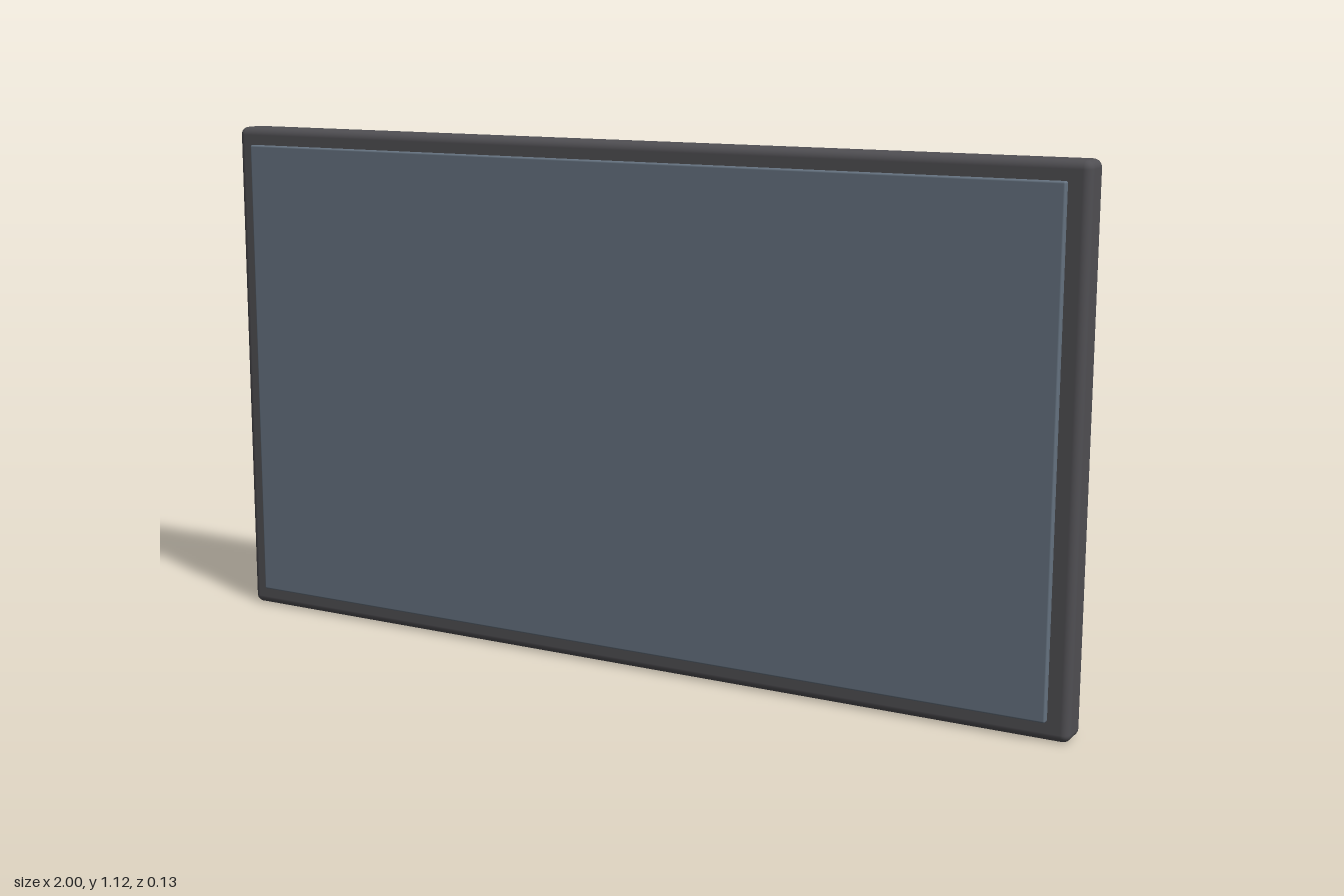
import * as THREE from 'three';
import { RoundedBoxGeometry } from 'three/addons/geometries/RoundedBoxGeometry.js';

const casingGrey = new THREE.MeshStandardMaterial({ color: 0x504f53 });
casingGrey.name = 'casingGrey';
const screenBlue = new THREE.MeshStandardMaterial({ color: 0x657280 });
screenBlue.name = 'screenBlue';

// Rounded slab centred on x = 0, given its y and z ranges
function slab(name, width, [y0, y1], [z0, z1], radius, material) {
  const geometry = new RoundedBoxGeometry(width, y1 - y0, z1 - z0, 4, radius);
  const mesh = new THREE.Mesh(geometry, material);
  mesh.name = name;
  mesh.position.set(0, (y0 + y1) / 2, (z0 + z1) / 2);
  return mesh;
}

export function createModel() {
  const display = new THREE.Group();
  display.name = 'flatDisplay';
  display.add(
    // Main casing with its bezel
    slab('casing', 2, [0, 1.122], [-0.022, 0.051], 0.017, casingGrey),
    // Screen panel standing just proud of the bezel
    slab('screen', 1.912, [0.041, 1.083], [0.049, 0.066], 0.004, screenBlue),
    // Mounting block on the back
    slab('rearMount', 0.55, [0.286, 0.838], [-0.066, -0.021], 0.017, casingGrey),
  );
  return display;
}
